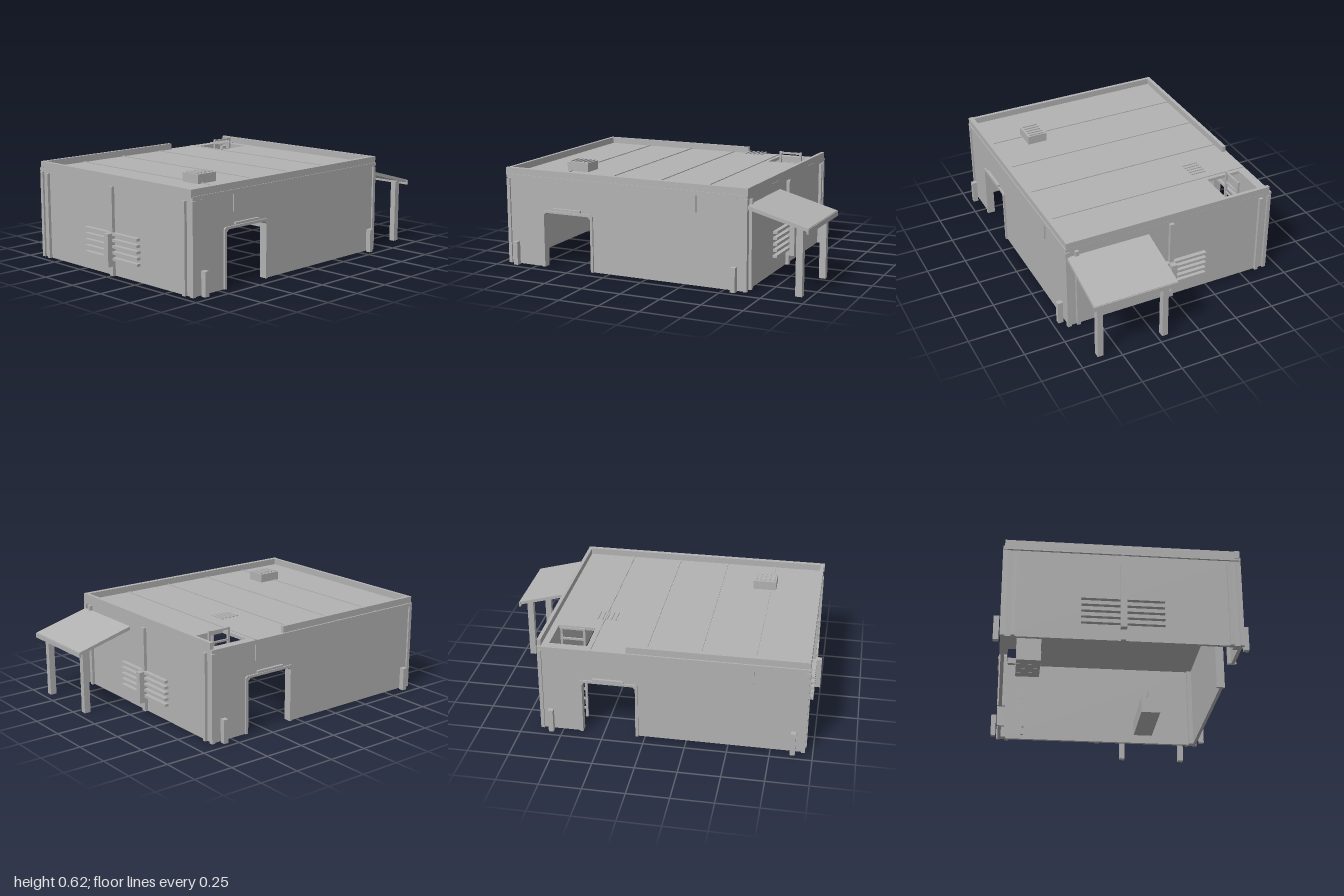
import * as THREE from 'three';

export function createModel() {
  const model = new THREE.Group();
  const grey = new THREE.MeshStandardMaterial({ color: 0xb2b2b2, side: THREE.DoubleSide });
  grey.name = 'plain grey';
  const CX = -0.1575; // centre of the building

  const add = (parent, name, geo) => {
    const m = new THREE.Mesh(geo, grey);
    m.name = name;
    parent.add(m);
    return m;
  };
  // box given by its limits on each axis
  const box = (parent, name, x0, x1, y0, y1, z0, z1) => {
    const m = add(parent, name, new THREE.BoxGeometry(x1 - x0, y1 - y0, z1 - z0));
    m.position.set((x0 + x1) / 2, (y0 + y1) / 2, (z0 + z1) / 2);
    return m;
  };
  const outline = (pts) => new THREE.Shape(pts.map(([x, y]) => new THREE.Vector2(x, y)));
  const slab = (shape, depth) => new THREE.ExtrudeGeometry(shape, { depth, bevelEnabled: false });

  // long wall with doorway, used at the front and turned round for the back
  const longWall = (name, turn) => {
    const g = new THREE.Group();
    g.name = name;
    g.position.x = CX;
    g.rotation.y = turn;
    model.add(g);
    const d = -0.375;
    add(g, 'wall', slab(outline([
      [-0.785, 0], [d - 0.165, 0], [d - 0.165, 0.345], [d + 0.165, 0.345],
      [d + 0.165, 0], [0.785, 0], [0.785, 0.55], [-0.785, 0.55]]), 0.02)).position.z = 0.65;
    add(g, 'doorFrame', slab(outline([
      [d - 0.177, 0], [d - 0.16, 0], [d - 0.16, 0.325], [d - 0.145, 0.34], [d + 0.145, 0.34],
      [d + 0.16, 0.325], [d + 0.16, 0], [d + 0.177, 0], [d + 0.177, 0.345], [d + 0.167, 0.355],
      [d - 0.167, 0.355], [d - 0.177, 0.345]]), 0.05)).position.z = 0.63;
    box(g, 'doorLintel', d - 0.095, d + 0.095, 0.36, 0.373, 0.665, 0.687);
    add(g, 'fasciaPanel', slab(outline([
      [-0.73, 0.535], [-0.48, 0.535], [-0.48, 0.435], [0.48, 0.435],
      [0.48, 0.535], [0.73, 0.535], [0.73, 0.56], [-0.73, 0.56]]), 0.01)).position.z = 0.67;
    for (const s of [-1, 1]) {
      const x = s * 0.725;
      box(g, 'bollard', x - 0.015, x + 0.015, 0, 0.145, 0.685, 0.717);
    }
  };
  longWall('frontWall', 0);
  longWall('backWall', Math.PI);

  // side wall with pilasters and louvre, mirrored by turning
  const sideWall = (name, turn) => {
    const g = new THREE.Group();
    g.name = name;
    g.position.x = CX;
    g.rotation.y = turn;
    model.add(g);
    box(g, 'wall', 0.765, 0.785, 0, 0.55, -0.67, 0.67);
    box(g, 'centreStrut', 0.765, 0.805, 0, 0.53, -0.014, 0.014);
    for (const s of [-1, 1]) {
      box(g, 'pilaster', 0.77, 0.803, 0, 0.53, s * 0.61 - 0.011, s * 0.61 + 0.011);
      box(g, 'cornerPost', 0.775, 0.797, 0, 0.535, s * 0.668 - 0.012, s * 0.668 + 0.012);
      box(g, 'innerCornerPost', 0.735, 0.765, 0, 0.535, s * 0.635 - 0.015, s * 0.635 + 0.015);
    }
    for (let i = 0; i < 5; i++) {
      const y = 0.104 + i * 0.037;
      box(g, 'louvreSlat', 0.78, 0.812, y - 0.008, y + 0.008, -0.235, 0.235);
    }
    box(g, 'louvreBracket', 0.805, 0.843, 0.06, 0.257, -0.018, 0.018);
    box(g, 'sideParapet', 0.775, 0.797, 0.555, 0.6, -0.665, 0.665);
  };
  sideWall('leftWall', 0);
  sideWall('rightWall', Math.PI);

  // roof with hatch opening
  const roof = outline([[-0.955, -0.68], [0.64, -0.68], [0.64, 0.68], [-0.955, 0.68]]);
  roof.holes.push(new THREE.Path([[0.35, 0.4], [0.35, 0.625], [0.577, 0.625], [0.577, 0.4]]
    .map(([x, y]) => new THREE.Vector2(x, y))));
  const roofMesh = add(model, 'roof', slab(roof, 0.02));
  roofMesh.rotation.x = -Math.PI / 2;
  roofMesh.position.y = 0.54;
  for (let i = 1; i < 5; i++) {
    const x = -0.955 + i * 0.319;
    box(model, 'roofSeam', x - 0.004, x + 0.004, 0.558, 0.565, -0.675, 0.65);
  }
  box(model, 'frontParapet', -0.96, 0.64, 0.555, 0.6, 0.645, 0.675);
  box(model, 'backParapet', -0.955, 0.11, 0.555, 0.6, -0.67, -0.647);

  // roof unit and vent slats
  box(model, 'roofUnit', -0.67, -0.525, 0.555, 0.615, 0.3, 0.425);
  for (let i = 0; i < 5; i++) {
    const u = -0.655 + i * 0.029, v = 0.23 + i * 0.027;
    box(model, 'unitSlat', u - 0.005, u + 0.005, 0.614, 0.622, 0.315, 0.41);
    box(model, 'ventSlat', v - 0.005, v + 0.005, 0.618, 0.624, -0.39, -0.29);
  }

  // ladder below the hatch
  const ladder = new THREE.Group();
  ladder.name = 'ladder';
  model.add(ladder);
  for (const x of [0.392, 0.53]) box(ladder, 'ladderRail', x - 0.007, x + 0.007, 0, 0.613, -0.517, -0.503);
  for (let i = 0; i < 9; i++) {
    const y = 0.06 + i * 0.068;
    box(ladder, 'ladderRung', 0.39, 0.532, y - 0.006, y + 0.006, -0.515, -0.505);
  }

  // sloping canopy on posts
  const canopy = add(model, 'canopy', slab(outline([
    [0.635, 0.48], [0.995, 0.385], [0.995, 0.405], [0.635, 0.502]]), 0.52));
  canopy.position.z = 0.15;
  box(model, 'canopyLip', 0.988, 1, 0.373, 0.402, 0.147, 0.673);
  for (const z of [0.203, 0.617]) box(model, 'canopyPost', 0.915, 0.955, 0, 0.398, z - 0.018, z + 0.018);

  // indoor furniture
  for (let i = 0; i < 4; i++) {
    const x = -0.644 + i * 0.059;
    box(model, 'locker', x, x + 0.057, 0, 0.22, -0.58, -0.44);
  }
  box(model, 'desk', 0.06, 0.465, 0, 0.1, 0.23, 0.35);
  box(model, 'deskScreen', 0.15, 0.38, 0.1, 0.2, 0.29, 0.32);
  return model;
}
